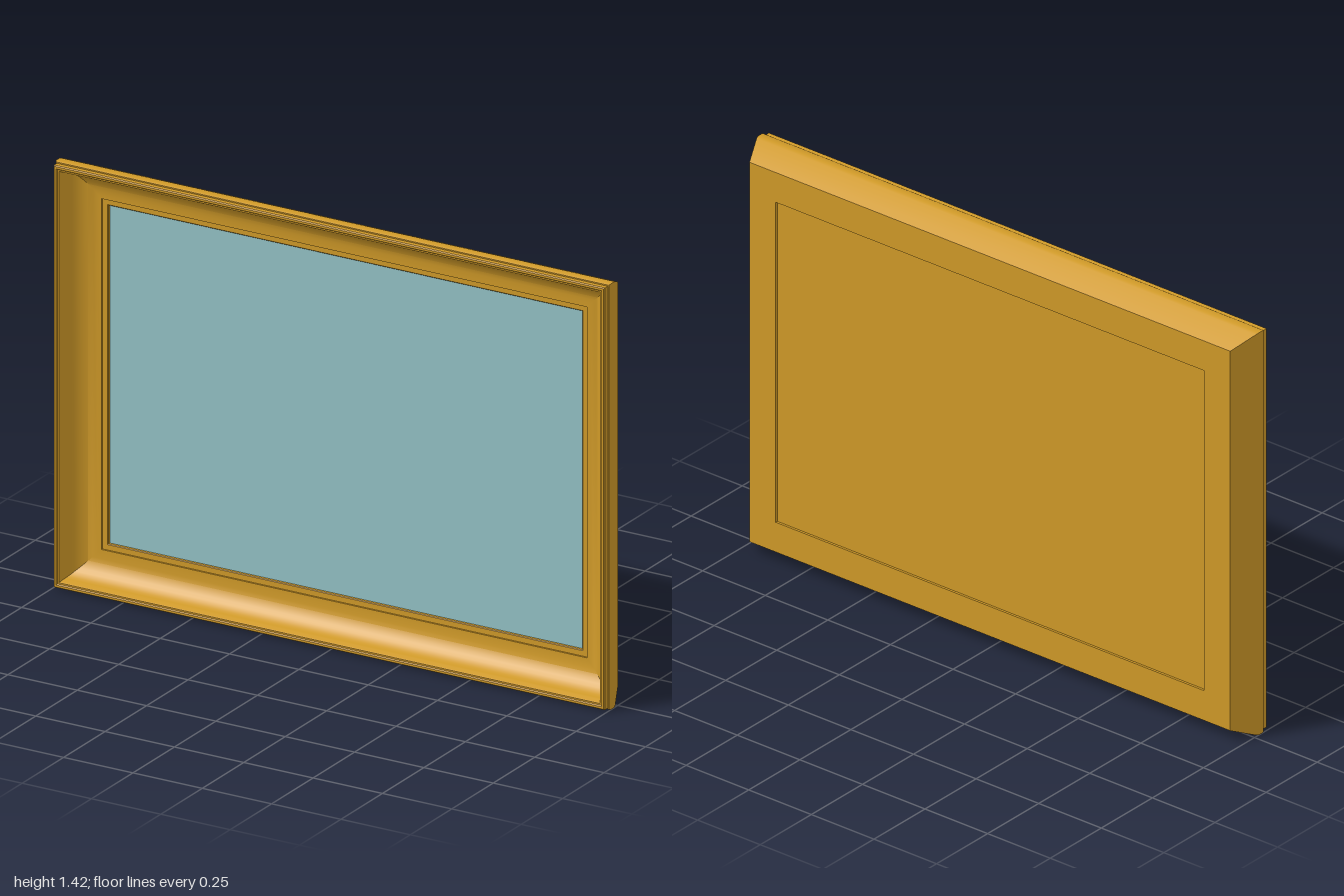
import * as THREE from 'three';
import { toCreasedNormals } from 'three/addons/utils/BufferGeometryUtils.js';

const W = 2, H = 1.42, BORDER = 0.145;

// Moulding cross-section as [inset from outer edge, z], from the back edge over the front and round again
function mouldingProfile() {
  const pts = [
    [0.04, -0.07], [0.003, 0.01], [0, 0.02], [0, 0.042], [0.003, 0.048], // bevelled outer side
    [0.007, 0.048], [0.006, 0.066], [0.009, 0.07], [0.016, 0.07],        // raised front bead
    [0.019, 0.066], [0.024, 0.066], [0.027, 0.06],
  ];
  // concave cove from the rim down to the inner lip
  for (let i = 0; i <= 10; i++) {
    const a = (i / 10) * Math.PI / 2;
    pts.push([0.125 - 0.095 * Math.cos(a), 0.052 - 0.075 * Math.sin(a)]);
  }
  // stepped lip, then the rebate wall through to the back
  pts.push([0.125, -0.029], [0.143, -0.029], [BORDER, -0.031], [BORDER, -0.07]);
  return pts;
}

// Sweep a closed profile round a rectangle with mitred corners
function mitredFrame(profile) {
  const corners = [[1, 1], [-1, 1], [-1, -1], [1, -1]];
  const at = ([sx, sy], [inset, z]) => [sx * (W / 2 - inset), H / 2 + sy * (H / 2 - inset), z];
  const pos = [];
  corners.forEach((a, k) => {
    const b = corners[(k + 1) % 4];
    profile.forEach((p, j) => {
      const q = profile[(j + 1) % profile.length];
      pos.push(...at(a, p), ...at(b, p), ...at(b, q), ...at(a, p), ...at(b, q), ...at(a, q));
    });
  });
  const geo = new THREE.BufferGeometry();
  geo.setAttribute('position', new THREE.Float32BufferAttribute(pos, 3));
  return toCreasedNormals(geo, 0.5);
}

export function createModel() {
  const group = new THREE.Group();
  const gold = new THREE.MeshStandardMaterial({ color: 0xd09a28 });
  const blue = new THREE.MeshStandardMaterial({ color: 0x94c2c6 });

  const add = (name, geo, mat, z = 0) => {
    const mesh = new THREE.Mesh(geo, mat);
    mesh.name = name;
    if (z) mesh.position.set(0, H / 2, z);
    group.add(mesh);
  };

  add('frameMoulding', mitredFrame(mouldingProfile()), gold);

  // Picture in front, backing board slightly recessed behind it
  const w = W - 2 * BORDER, h = H - 2 * BORDER;
  add('picture', new THREE.BoxGeometry(w, h, 0.008), blue, -0.044);
  add('backingBoard', new THREE.BoxGeometry(w, h, 0.014), gold, -0.055);
  return group;
}
